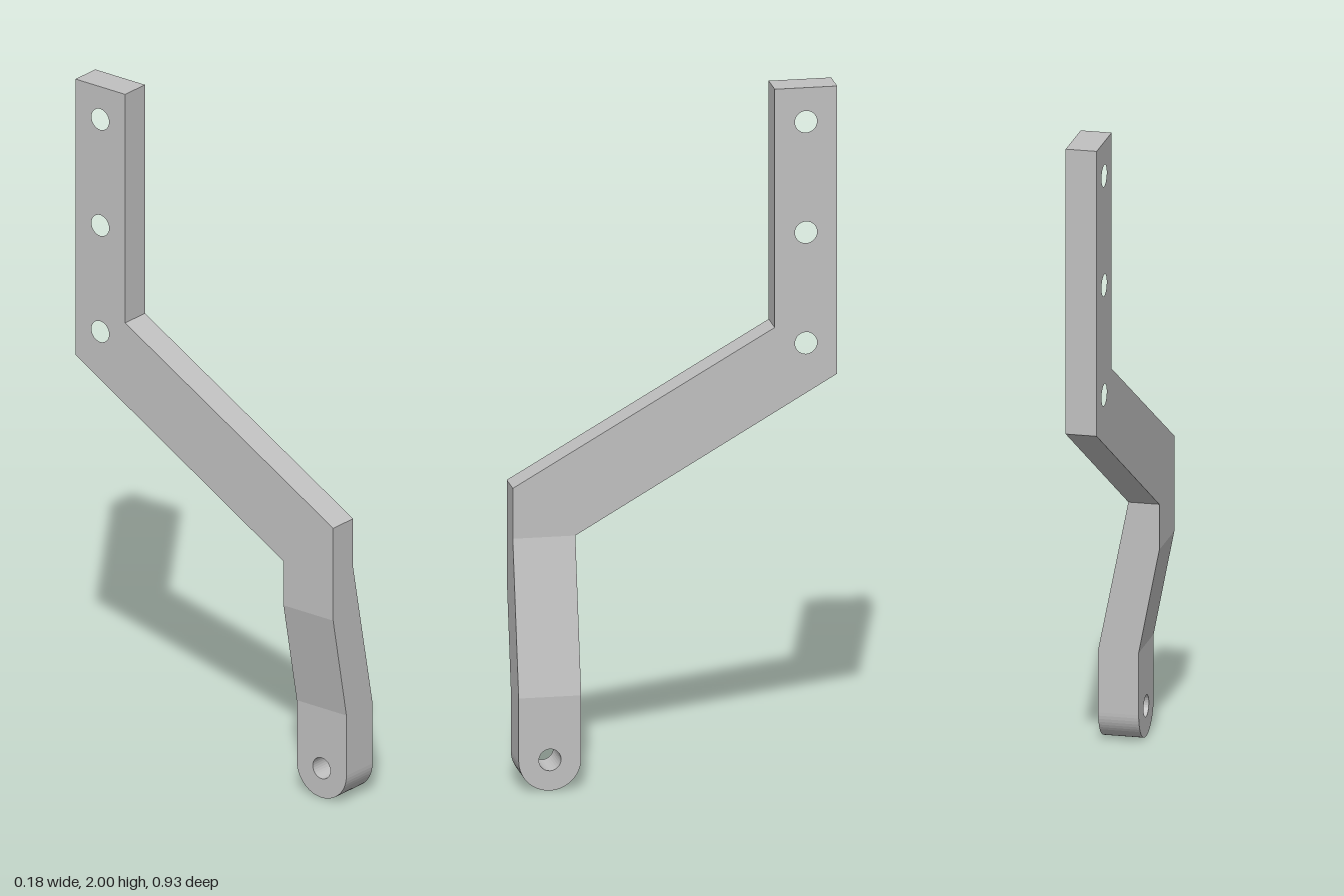
import * as THREE from 'three';

const shapeOf = (points) => new THREE.Shape(points.map(([a, b]) => new THREE.Vector2(a, b)));

function addHole(shape, z, y, radius) {
  const hole = new THREE.Path();
  hole.absarc(z, y, radius, 0, Math.PI * 2, true);
  shape.holes.push(hole);
}

// Extrudes a (z, y) side profile across the plate thickness, from xMax towards -x
function sidePlate(shape, xMin, xMax) {
  const geometry = new THREE.ExtrudeGeometry(shape, { depth: xMax - xMin, bevelEnabled: false, curveSegments: 14 });
  return geometry.rotateY(-Math.PI / 2).translate(xMax, 0, 0);
}

export function createModel() {
  const group = new THREE.Group();
  group.name = 'offsetBracket';
  const steel = new THREE.MeshStandardMaterial({ color: 0xc0c0c0 });
  steel.name = 'grey steel';

  const add = (name, geometry) => {
    const mesh = new THREE.Mesh(geometry, steel);
    mesh.name = name;
    group.add(mesh);
  };

  const back = -0.467, front = 0.467, width = 0.18;
  const bendTop = 0.72, bendLow = 0.275;
  const xOuter = -0.09, footMin = -0.03, footMax = 0.088;

  // Upright with three bolt holes and the diagonal arm
  const arm = shapeOf([
    [front - width, bendTop], [back, 1.155], [back, 2], [back + width, 2],
    [back + width, 1.3], [front, 0.868], [front, bendTop],
  ]);
  for (const y of [1.25, 1.575, 1.9]) addHole(arm, back + width / 2, y, 0.032);
  add('uprightAndArm', sidePlate(arm, xOuter, 0));

  // Sideways jog that shifts the lower end towards +x
  const jog = shapeOf([
    [xOuter, bendTop], [xOuter, 0.585], [footMin, bendLow], [footMax, bendLow], [0, bendTop],
  ]);
  const jogGeometry = new THREE.ExtrudeGeometry(jog, { depth: width, bevelEnabled: false });
  add('jog', jogGeometry.translate(0, 0, front - width));

  // Rounded foot with a pivot hole
  const r = width / 2, cz = front - r;
  const foot = shapeOf([[front, bendLow], [front - width, bendLow], [front - width, r]]);
  foot.absarc(cz, r, r, Math.PI, Math.PI * 2, false);
  foot.closePath();
  addHole(foot, cz, r, 0.032);
  add('foot', sidePlate(foot, footMin, footMax));

  return group;
}
